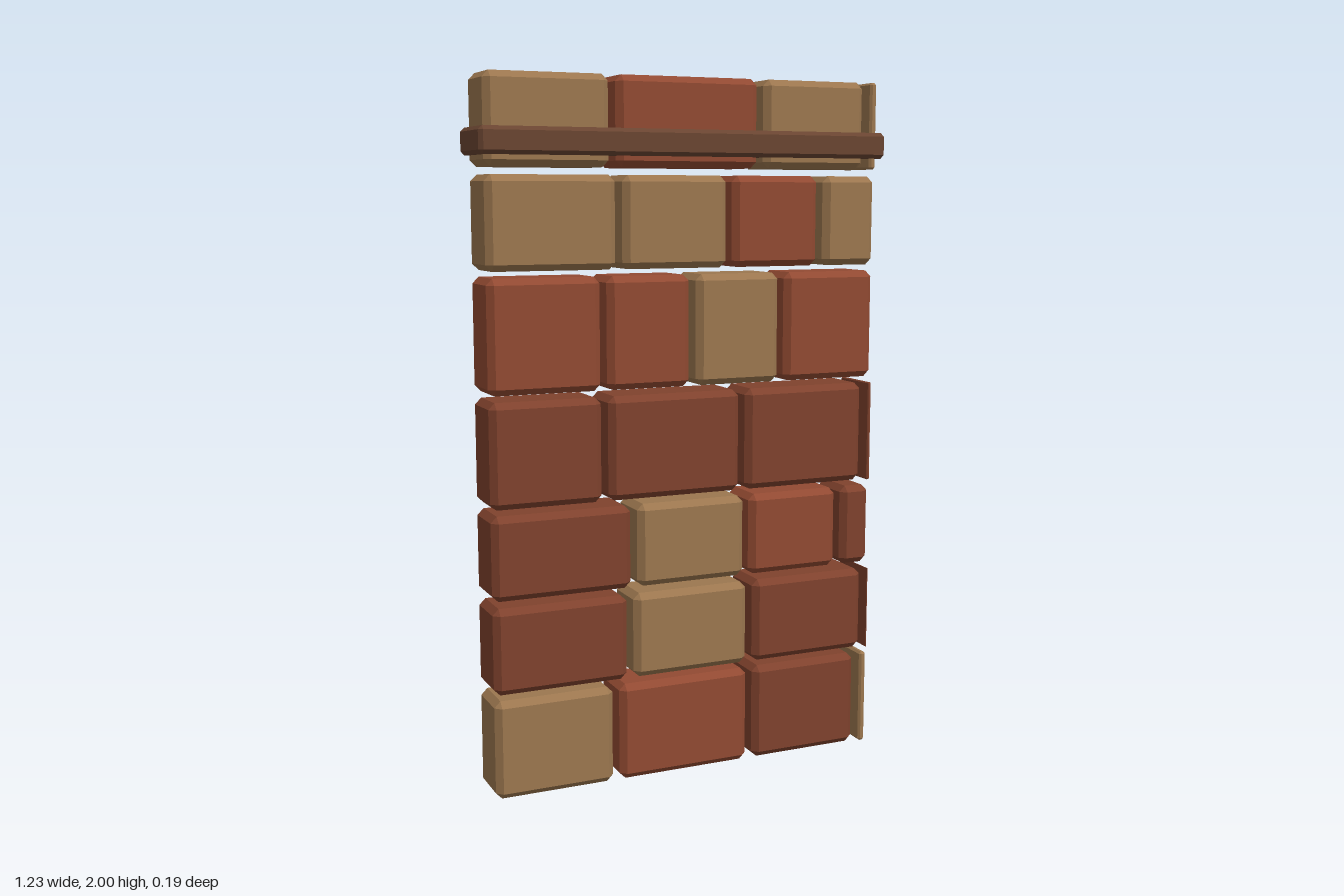
import * as THREE from 'three';
import { ConvexGeometry } from 'three/addons/geometries/ConvexGeometry.js';

const material = (color) => new THREE.MeshStandardMaterial({ color, flatShading: true });
const MATERIALS = {
  tan: material(0x9c774f),
  red: material(0x924a32),
  dark: material(0x80422d),
  band: material(0x6a4531),
};
const HALF_DEPTH = 0.081;

// Box with every edge cut off at 45 degrees
function chamferedBox(w, h, d, bevel) {
  if (w < 0.004) return new THREE.BoxGeometry(w, h, d);
  const b = Math.min(bevel, w * 0.3);
  const points = [];
  for (const sx of [-1, 1]) for (const sy of [-1, 1]) for (const sz of [-1, 1]) {
    for (let face = 0; face < 3; face++) {
      points.push(new THREE.Vector3(
        sx * (w / 2 - (face === 0 ? 0 : b)),
        sy * (h / 2 - (face === 1 ? 0 : b)),
        sz * (d / 2 - (face === 2 ? 0 : b))));
    }
  }
  return new ConvexGeometry(points);
}

function block(name, x0, x1, y0, y1, halfDepth, bevel, mat) {
  const mesh = new THREE.Mesh(chamferedBox(x1 - x0, y1 - y0, halfDepth * 2, bevel), mat);
  mesh.position.set((x0 + x1) / 2, (y0 + y1) / 2, 0);
  mesh.name = name;
  return mesh;
}

// Courses from the ground up: bottom, top, then [left edge, right edge, colour] per brick
const COURSES = [
  [0, 0.285, [[-0.595, -0.243, 'tan'], [-0.222, 0.183, 'red'], [0.204, 0.549, 'dark'], [0.569, 0.59, 'tan']]],
  [0.302, 0.55, [[-0.595, -0.198, 'dark'], [-0.177, 0.181, 'tan'], [0.203, 0.57, 'dark'], [0.588, 0.59, 'dark']]],
  [0.57, 0.81, [[-0.595, -0.185, 'dark'], [-0.164, 0.17, 'tan'], [0.189, 0.476, 'red'], [0.497, 0.59, 'dark']]],
  [0.827, 1.123, [[-0.595, -0.271, 'dark'], [-0.25, 0.154, 'dark'], [0.175, 0.559, 'dark'], [0.58, 0.59, 'dark']]],
  [1.141, 1.457, [[-0.595, -0.272, 'red'], [-0.252, -0.003, 'red'], [0.018, 0.278, 'tan'], [0.298, 0.59, 'red']]],
  [1.475, 1.732, [[-0.595, -0.225, 'tan'], [-0.204, 0.111, 'tan'], [0.13, 0.401, 'red'], [0.423, 0.59, 'tan']]],
  [1.752, 2, [[-0.595, -0.243, 'tan'], [-0.222, 0.206, 'red'], [0.227, 0.549, 'tan'], [0.569, 0.59, 'tan']]],
];

export function createModel() {
  const wall = new THREE.Group();
  wall.name = 'brickWall';

  COURSES.forEach(([y0, y1, bricks], row) => {
    const course = new THREE.Group();
    course.name = `course${row + 1}`;
    bricks.forEach(([x0, x1, color], i) => {
      course.add(block(`brick${i + 1}`, x0, x1, y0, y1, HALF_DEPTH, 0.018, MATERIALS[color]));
    });
    wall.add(course);
  });

  // Timber band wrapped around the top course
  wall.add(block('band', -0.614, 0.614, 1.783, 1.857, 0.096, 0.011, MATERIALS.band));
  return wall;
}
